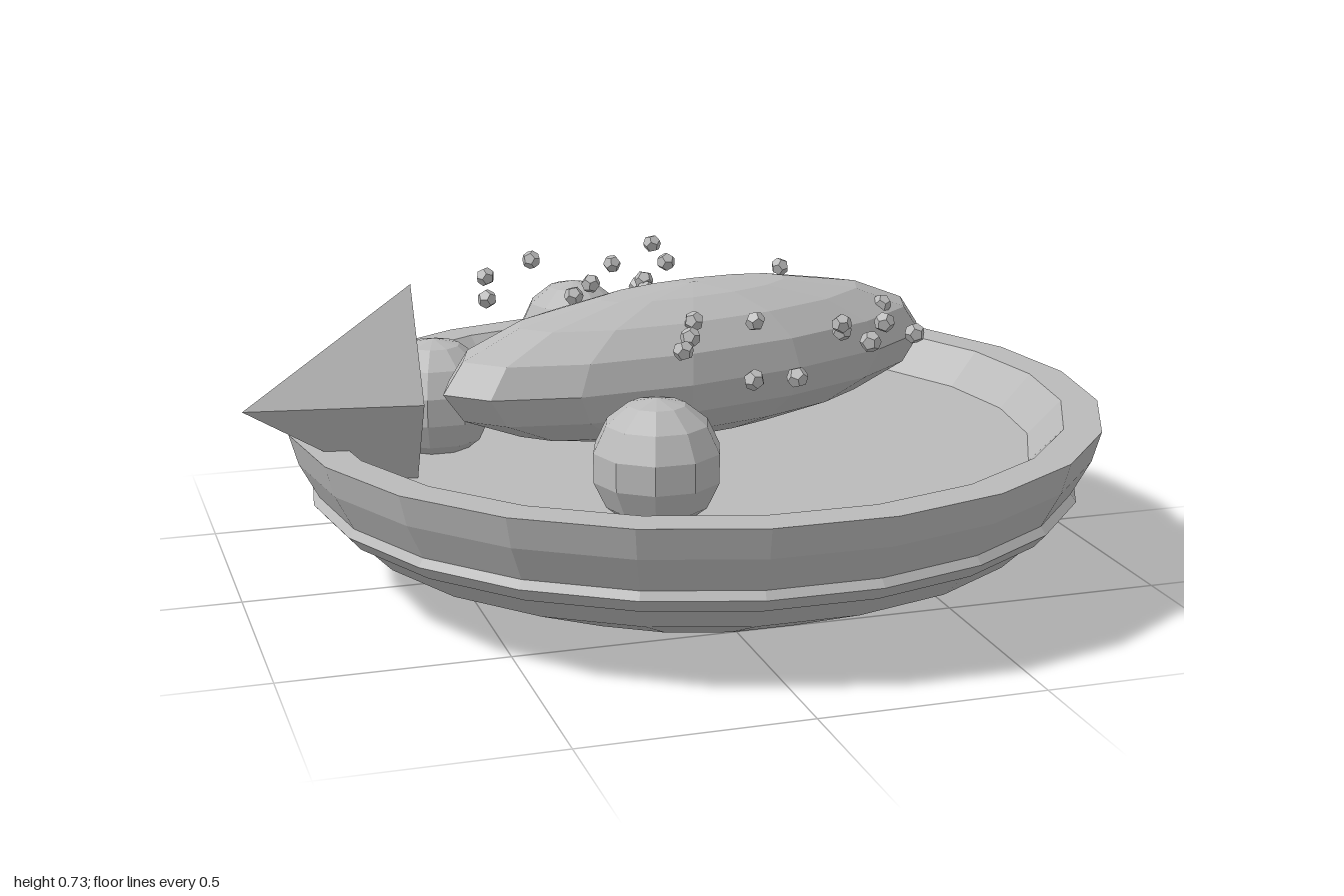
import * as THREE from 'three';

const grey = new THREE.MeshStandardMaterial({ color: 0xbababa });
grey.name = 'plain grey';

// Faceted mesh: every face gets its own normal
function part(name, geometry, x = 0, y = 0, z = 0) {
  const flat = geometry.index ? geometry.toNonIndexed() : geometry;
  flat.computeVertexNormals();
  const mesh = new THREE.Mesh(flat, grey);
  mesh.name = name;
  mesh.position.set(x, y, z);
  return mesh;
}

// 22-sided turned shape with corners on the x axis
function turned(points) {
  const profile = points.map(([r, y]) => new THREE.Vector2(r, y));
  return new THREE.LatheGeometry(profile, 22).rotateY(Math.PI / 2);
}

export function createModel() {
  const group = new THREE.Group();
  const cx = 0.06;

  // Shallow bowl: underside, flared wall, flat rim, sloped inside, floor
  group.add(part('bowl', turned([
    [0, 0], [0.505, 0], [0.79, 0.12], [0.85, 0.18], [0.88, 0.235],
    [0.92, 0.31], [0.94, 0.38], [0.855, 0.38], [0.78, 0.3], [0, 0.3],
  ]), cx));

  // Raised band around the outside
  group.add(part('bowlBand', turned([
    [0.845, 0.18], [0.862, 0.18], [0.89, 0.212], [0.872, 0.237], [0.85, 0.237],
  ]), cx));

  // Fish body
  const body = part('fishBody', new THREE.SphereGeometry(1, 14, 8).scale(0.647, 0.175, 0.228), cx, 0.49, 0);
  body.rotation.y = 0.265;
  group.add(body);

  // Three-sided tail fin, its point facing outwards
  const tip = [-1, 0.49, 0.18], top = [-0.62, 0.73, 0.12];
  const low = [-0.62, 0.25, 0.12], side = [-0.62, 0.49, 0.24];
  const fin = new THREE.BufferGeometry();
  fin.setAttribute('position', new THREE.Float32BufferAttribute([
    tip, side, top, tip, low, side, tip, top, low, top, side, low,
  ].flat(), 3));
  group.add(part('tailFin', fin));

  // Round garnishes on the floor of the bowl
  for (const [x, z] of [[-0.19, 0.535], [-0.53, -0.1], [-0.07, -0.59]]) {
    group.add(part('garnishBall', new THREE.SphereGeometry(0.141, 10, 7), x, 0.41, z));
  }

  // Scattered crumbs
  const crumbs = [
    [0.26, 0.65, 0.59], [0.08, 0.6, 0.64], [0, 0.59, 0.6], [0.36, 0.645, 0.42],
    [0.44, 0.61, 0.4], [-0.09, 0.61, 0.4], [-0.04, 0.61, 0.29], [0.32, 0.61, 0.27],
    [0.34, 0.58, 0.22], [0.13, 0.62, 0.23], [0, 0.62, 0.19], [0.535, 0.575, -0.025],
    [-0.38, 0.61, -0.2], [-0.13, 0.63, -0.2], [0, 0.63, -0.2], [0, 0.61, -0.18],
    [-0.19, 0.62, -0.13], [-0.34, 0.62, -0.39], [0.11, 0.63, -0.38], [0.42, 0.59, -0.42],
    [0.07, 0.55, -0.49], [-0.2, 0.63, -0.5], [0.14, 0.63, -0.6], [0.04, 0.58, -0.62],
  ];
  crumbs.forEach(([x, y, z], i) => {
    const crumb = part('crumb', new THREE.DodecahedronGeometry(0.023), x, y, z);
    crumb.rotation.set(i * 1.3, i * 0.7, 0);
    group.add(crumb);
  });

  return group;
}
